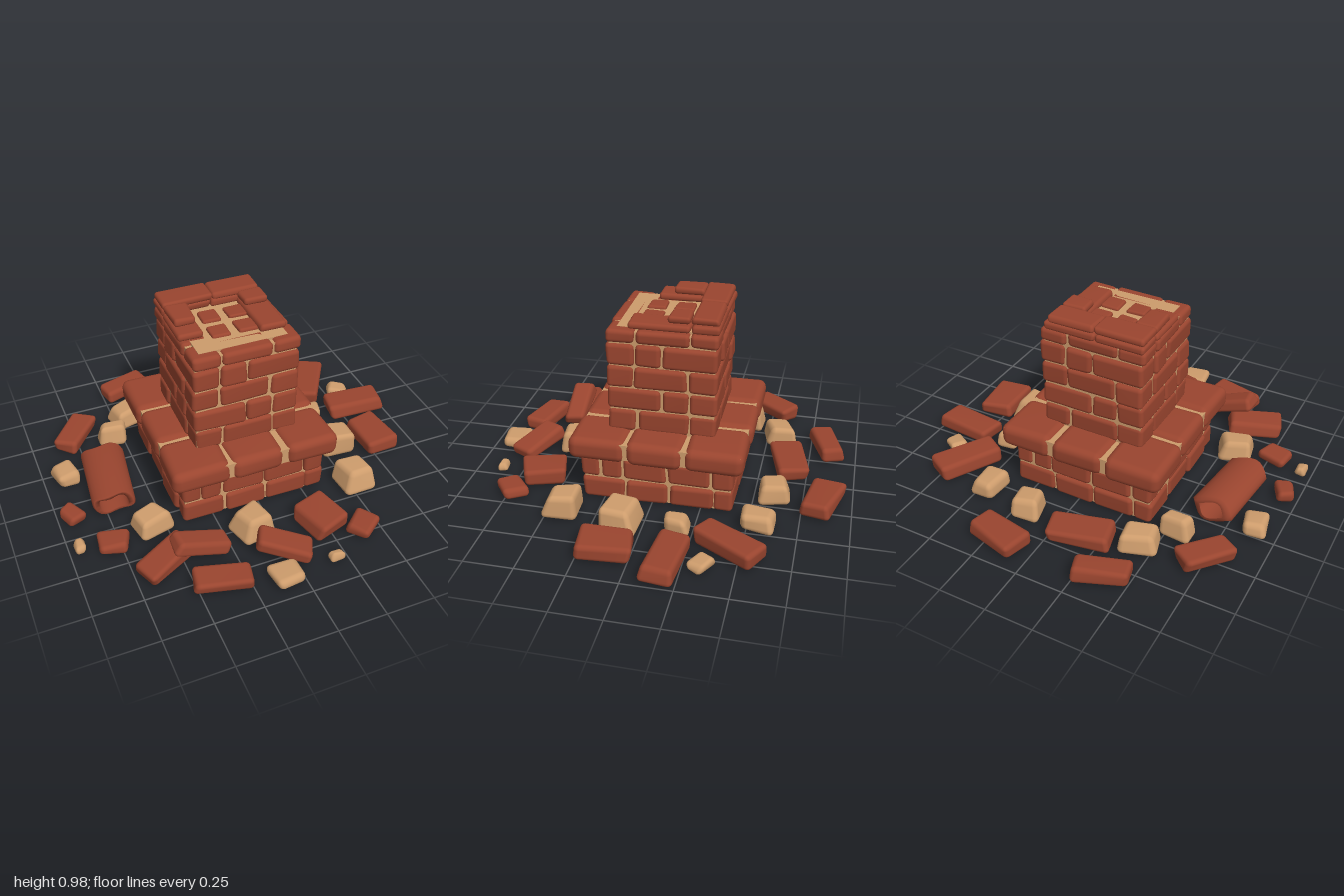
import * as THREE from 'three';
import { mergeVertices } from 'three/addons/utils/BufferGeometryUtils.js';
import { RoundedBoxGeometry } from 'three/addons/geometries/RoundedBoxGeometry.js';

export function createModel() {
  const brickMat = new THREE.MeshStandardMaterial({ name: 'red brick', color: 0x9a452f });
  const sandMat = new THREE.MeshStandardMaterial({ name: 'sand mortar', color: 0xcd9c6c });
  const potMat = brickMat;
  const model = new THREE.Group();
  model.name = 'ruinedChimney';

  let seed = 7;
  const rnd = () => {
    seed = (seed * 16807) % 2147483647;
    return (seed / 2147483647) * 2 - 1;
  };

  // Rounded block whose eight corners are nudged, with an optional taper toward the top
  function block(name, mat, w, h, d, { r = 0.02, jitter = 0.006, taper = 0 } = {}) {
    let g = new RoundedBoxGeometry(w, h, d, 3, Math.min(r, w * 0.45, h * 0.45, d * 0.45));
    g.deleteAttribute('uv');
    g.deleteAttribute('normal');
    g = mergeVertices(g, 1e-5);
    const c = Array.from({ length: 8 }, () => [rnd() * jitter, rnd() * jitter * 0.4, rnd() * jitter]);
    const p = g.attributes.position;
    for (let i = 0; i < p.count; i++) {
      const v = [p.getX(i), p.getY(i), p.getZ(i)];
      const u = [v[0] / w + 0.5, v[1] / h + 0.5, v[2] / d + 0.5];
      const s = 1 - taper * u[1];
      v[0] *= s;
      v[2] *= s;
      for (let k = 0; k < 8; k++) {
        const f = (k & 1 ? u[0] : 1 - u[0]) * (k & 2 ? u[1] : 1 - u[1]) * (k & 4 ? u[2] : 1 - u[2]);
        for (let a = 0; a < 3; a++) v[a] += c[k][a] * f;
      }
      p.setXYZ(i, ...v);
    }
    g.computeVertexNormals();
    const m = new THREE.Mesh(g, mat);
    m.name = name;
    return m;
  }

  // Block given by its extents
  function span(parent, name, mat, x0, x1, y0, y1, z0, z1, opts) {
    const m = block(name, mat, x1 - x0, y1 - y0, z1 - z0, opts);
    m.position.set((x0 + x1) / 2, (y0 + y1) / 2, (z0 + z1) / 2);
    parent.add(m);
    return m;
  }

  // One course of bricks laid as a pinwheel round a square
  function course(parent, name, y0, y1, W, t, runs, flip) {
    for (let k = 0; k < 4; k++) {
      const side = new THREE.Group();
      side.name = name + 'Side';
      side.rotation.y = k * Math.PI / 2;
      parent.add(side);
      let x = -W / 2;
      for (const len of runs) {
        const a = x + 0.004, b = x + len - 0.004, out = rnd() * 0.005;
        span(side, name, brickMat, flip ? -b : a, flip ? -a : b, y0 + 0.002, y1 - 0.002,
          W / 2 - t + out, W / 2 + out, { r: 0.022 });
        x += len;
      }
    }
  }

  // Square hollow wall of mortar
  function mortarWall(parent, name, half, inner, y0, y1) {
    const rect = (s, P) => new P([[-s, -s], [s, -s], [s, s], [-s, s]].map(q => new THREE.Vector2(...q)));
    const shape = rect(half, THREE.Shape);
    shape.holes.push(rect(inner, THREE.Path));
    const g = new THREE.ExtrudeGeometry(shape, { depth: y1 - y0, bevelEnabled: false });
    g.rotateX(-Math.PI / 2);
    const m = new THREE.Mesh(g, sandMat);
    m.name = name;
    m.position.y = y0;
    parent.add(m);
  }

  // Plinth
  const tower = new THREE.Group();
  tower.name = 'chimneyStack';
  tower.position.set(-0.025, 0, -0.028);
  model.add(tower);
  course(tower, 'plinthBrick', 0.01, 0.13, 0.78, 0.1, [0.227, 0.227, 0.226], false);
  course(tower, 'plinthBrick', 0.13, 0.252, 0.78, 0.1, [0.113, 0.227, 0.227, 0.113], true);
  mortarWall(tower, 'plinthMortar', 0.375, 0.28, 0.02, 0.27);

  // Ledge of eight heavy blocks
  const cut = [-0.445, -0.14, 0.15, 0.445];
  for (let i = 0; i < 3; i++) for (let j = 0; j < 3; j++) {
    if (i === 1 && j === 1) continue;
    span(tower, 'ledgeBlock', brickMat, cut[i] + 0.003, cut[i + 1] - 0.003, 0.248, 0.372,
      cut[j] + 0.003, cut[j + 1] - 0.003, { r: 0.042, jitter: 0.008 });
  }
  mortarWall(tower, 'ledgeMortar', 0.425, 0.17, 0.27, 0.355);

  // Shaft courses
  const shaftY = [0.355, 0.475, 0.595, 0.715, 0.835, 0.908];
  for (let i = 0; i < 5; i++) {
    course(tower, 'shaftBrick', shaftY[i], shaftY[i + 1], 0.56 + rnd() * 0.008, 0.14,
      i % 2 ? [0.28, 0.14] : [0.15, 0.27], i === 2 || i === 3);
  }
  mortarWall(tower, 'shaftMortar', 0.264, 0.17, 0.355, 0.895);
  const floor = new THREE.Mesh(new THREE.BoxGeometry(0.46, 0.03, 0.46), sandMat);
  floor.name = 'mortarFloor';
  floor.position.y = 0.892;
  tower.add(floor);

  // Broken top: stepped remains of two thin courses, and small bricks set in the floor
  const top = (x0, x1, y0, y1, z0, z1) =>
    span(model, 'brokenTopBrick', brickMat, x0, x1, y0, y1, z0, z1, { r: 0.016 });
  top(-0.31, -0.05, 0.904, 0.946, -0.31, -0.17);
  top(-0.045, 0.23, 0.904, 0.946, -0.31, -0.17);
  top(-0.31, -0.18, 0.904, 0.94, -0.165, 0.075);
  top(0.09, 0.23, 0.904, 0.94, -0.165, 0.145);
  top(-0.3, -0.04, 0.944, 0.982, -0.302, -0.165);
  top(-0.035, 0.21, 0.944, 0.982, -0.302, -0.165);
  top(-0.3, -0.185, 0.94, 0.978, -0.16, 0.0);
  top(0.085, 0.21, 0.94, 0.978, -0.16, -0.05);
  for (const x of [-0.095, 0.045]) for (const z of [-0.08, 0.06]) {
    span(model, 'coreBrick', brickMat, x - 0.05, x + 0.05, 0.88, 0.922, z - 0.05, z + 0.05, { r: 0.012 });
  }

  // Fallen bricks: x, z, width, depth, turn, height, tilt, bottom
  const bricks = [
    [-0.36, -0.83, 0.28, 0.13, 0.33], [0.19, -0.85, 0.28, 0.16, -0.27],
    [-0.15, -0.645, 0.31, 0.17, 0.2], [-0.75, -0.51, 0.28, 0.13, 0.87],
    [0.665, -0.445, 0.33, 0.16, 1.05, 0.09], [0.83, -0.175, 0.32, 0.17, -0.1],
    [0.79, 0.125, 0.19, 0.27, 0.08], [-0.93, 0.11, 0.1, 0.13, 0.5, 0.06],
    [-0.785, 0.365, 0.15, 0.13, -0.25, 0.06], [-0.59, 0.58, 0.28, 0.16, 0.45, 0.08, 0.1],
    [-0.415, 0.61, 0.29, 0.13, 0.04, 0.075, -0.36, 0.085], [-0.38, 0.8, 0.28, 0.14, -0.25, 0.07],
    [-0.03, 0.735, 0.27, 0.14, -0.5, 0.075, -0.2, 0.035], [0.23, 0.61, 0.2, 0.22, 0.3, 0.09],
    [0.415, 0.73, 0.16, 0.13, 0.6, 0.06],
  ];
  for (const [x, z, w, d, turn, h = 0.08, tilt = 0, y = 0.01] of bricks) {
    const m = block('fallenBrick', brickMat, w, h, d, { r: 0.024, jitter: 0.016 });
    m.position.set(x, y + h / 2, z);
    m.rotation.set(0, turn, tilt);
    model.add(m);
  }

  // Loose stones: x, z, width, depth, turn, height
  const stones = [
    [-0.43, -0.565, 0.18, 0.17, 0.25, 0.11], [0.17, -0.6, 0.16, 0.17, 0.2, 0.11],
    [0.445, -0.555, 0.13, 0.17, -0.1, 0.09], [0.81, -0.34, 0.11, 0.09, -0.5, 0.05],
    [0.56, -0.18, 0.11, 0.12, 0, 0.09], [0.57, 0.11, 0.2, 0.2, -0.1, 0.13],
    [0.52, 0.415, 0.17, 0.19, 0.1, 0.13], [-0.11, 0.53, 0.18, 0.18, 0.3, 0.13],
    [-0.085, 0.885, 0.15, 0.14, 0.05, 0.06], [0.19, 0.855, 0.08, 0.07, 0, 0.045],
    [-0.57, 0.32, 0.18, 0.18, 0.3, 0.11], [-0.88, -0.195, 0.13, 0.15, 0.15, 0.08],
    [-0.945, 0.335, 0.07, 0.08, 0, 0.05], [-0.555, -0.41, 0.16, 0.13, -0.1, 0.12],
  ];
  for (const [x, z, w, d, turn, h] of stones) {
    const m = block('looseStone', sandMat, w, h, d, { r: 0.03, jitter: 0.018, taper: h > 0.1 ? 0.25 : 0.08 });
    m.position.set(x, 0.008 + h / 2, z);
    m.rotation.y = turn;
    model.add(m);
  }

  // Broken chimney pot lying on its side, with a ragged far rim
  const profile = [[0.075, -0.205], [0.1, -0.205], [0.115, -0.19], [0.112, 0], [0.11, 0.19],
    [0.1, 0.2], [0.075, 0.2], [0.078, 0], [0.075, -0.205]].map(q => new THREE.Vector2(...q));
  const potGeo = new THREE.LatheGeometry(profile, 24);
  const pp = potGeo.attributes.position;
  for (let i = 0; i < pp.count; i++) {
    const a = Math.atan2(pp.getZ(i), pp.getX(i));
    if (Math.abs(pp.getY(i)) > 0.1) pp.setY(i, pp.getY(i) + 0.015 * Math.sin(3 * a + 1));
  }
  potGeo.rotateX(Math.PI / 2);
  potGeo.scale(1, 0.62, 1);
  const pot = new THREE.Mesh(potGeo, potMat);
  pot.name = 'fallenChimneyPot';
  pot.position.set(-0.69, 0.08, -0.045);
  pot.rotation.y = -0.12;
  model.add(pot);

  return model;
}
